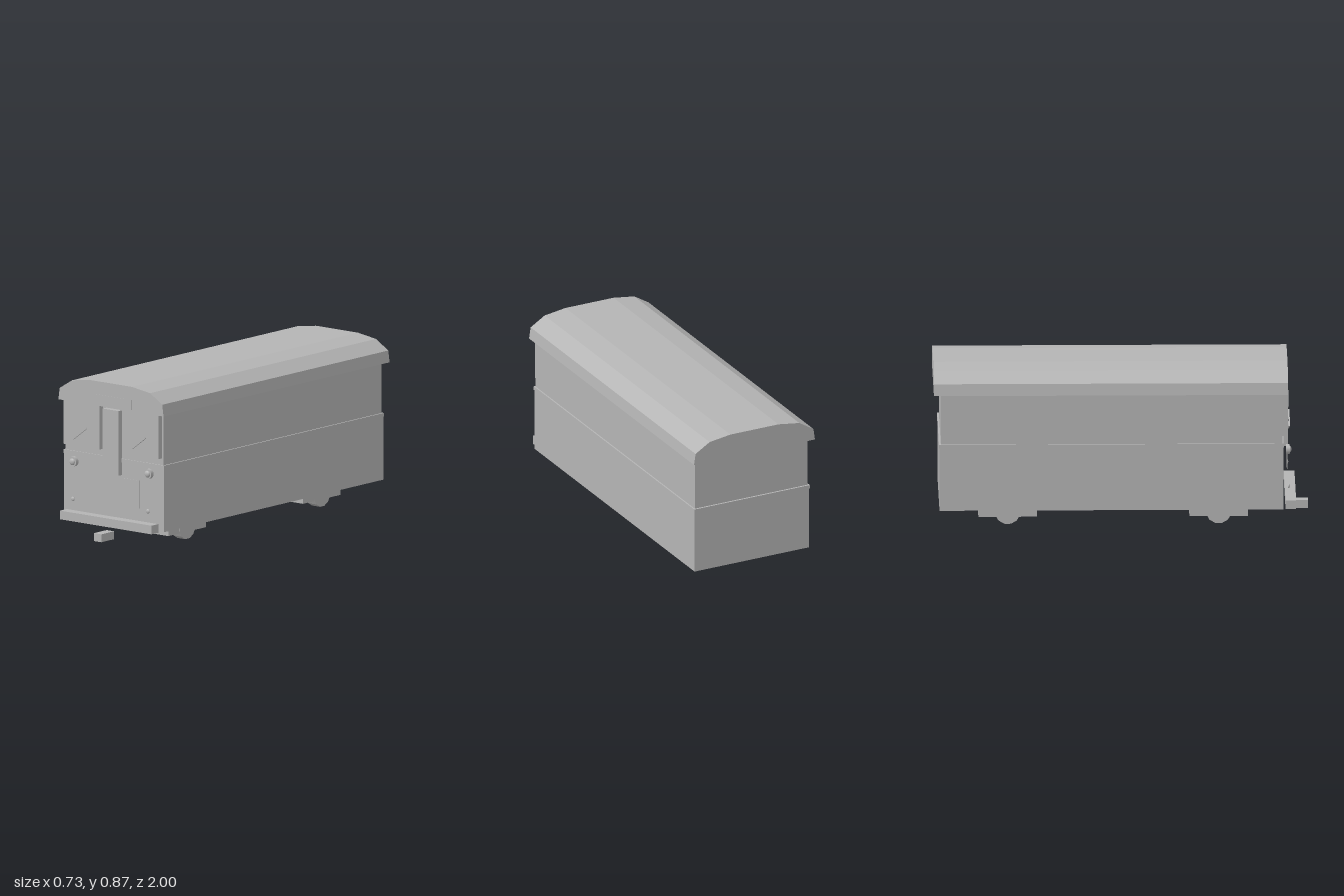
import * as THREE from 'three';

export function createModel() {
  const model = new THREE.Group();
  model.name = 'railCar';
  const grey = new THREE.MeshStandardMaterial({ color: 0xb4b4b4 });
  grey.name = 'plain grey';

  function add(name, geometry, x = 0, y = 0, z = 0) {
    const mesh = new THREE.Mesh(geometry, grey);
    mesh.name = name;
    mesh.position.set(x, y, z);
    model.add(mesh);
    return mesh;
  }
  // Box given by its lower and upper limits on each axis
  function box(name, x0, x1, y0, y1, z0, z1) {
    return add(name, new THREE.BoxGeometry(x1 - x0, y1 - y0, z1 - z0),
      (x0 + x1) / 2, (y0 + y1) / 2, (z0 + z1) / 2);
  }

  // Body: lower half, raised belt and slightly narrower upper half
  box('lowerBody', -0.345, 0.345, 0.104, 0.447, -0.97, 0.863);
  box('beltRail', -0.348, 0.348, 0.447, 0.467, -0.973, 0.865);
  box('upperBody', -0.34, 0.34, 0.467, 0.74, -0.963, 0.859);

  // Faceted roof running the full length
  const half = [[0.364, 0.74], [0.355, 0.803], [0.27, 0.855], [0.145, 0.873]];
  const profile = [...half, ...half.map(([x, y]) => [-x, y]).reverse()];
  const roofShape = new THREE.Shape(profile.map(([x, y]) => new THREE.Vector2(x, y)));
  add('roof', new THREE.ExtrudeGeometry(roofShape, { depth: 1.888, bevelEnabled: false }), 0, 0, -1);

  // Front end
  box('frontDoor', -0.054, 0.054, 0.378, 0.73, 0.859, 0.892);
  box('destinationPanel', -0.144, 0.144, 0.748, 0.801, 0.884, 0.889);
  box('equipmentPanel', 0.077, 0.2, 0.218, 0.37, 0.888, 0.891);
  box('bumper', -0.317, 0.317, 0.1, 0.147, 0.875, 0.932);
  box('coupler', -0.026, 0.026, 0.03, 0.073, 0.892, 1);

  for (const s of [-1, 1]) {
    box('windscreen', s * 0.203 - 0.125, s * 0.203 + 0.125, 0.503, 0.74, 0.859, 0.888);

    // Both wipers lean the same way
    const wiper = add('wiper', new THREE.BoxGeometry(0.114, 0.007, 0.008), s < 0 ? -0.21 : 0.198, 0.574, 0.895);
    wiper.rotation.z = 0.65;

    // Headlight: rim with a domed lens
    const rim = add('headlightRim', new THREE.CylinderGeometry(0.027, 0.027, 0.02, 24), s * 0.26, 0.415, 0.888);
    rim.rotation.x = Math.PI / 2;
    const lens = add('headlightLens', new THREE.SphereGeometry(0.019, 20, 12), s * 0.26, 0.415, 0.896);
    lens.scale.z = 0.6;

    const marker = add('markerLight', new THREE.SphereGeometry(0.012, 16, 10), s * 0.26, 0.212, 0.893);
    marker.scale.z = 0.45;
  }

  // Bogies with one wheel at each side
  for (const z of [0.52, -0.605]) {
    box('bogieFrame', -0.222, 0.222, 0.038, 0.106, z - 0.156, z + 0.156);
    for (const s of [-1, 1]) {
      const wheelGeometry = new THREE.CylinderGeometry(0.069, 0.069, 0.055, 12);
      wheelGeometry.rotateY(Math.PI / 12).rotateZ(Math.PI / 2);
      const wheel = add('wheel', wheelGeometry, s * 0.197, 0.067, z);
      wheel.geometry = wheelGeometry.toNonIndexed();
      wheel.geometry.computeVertexNormals();
    }
  }
  return model;
}
